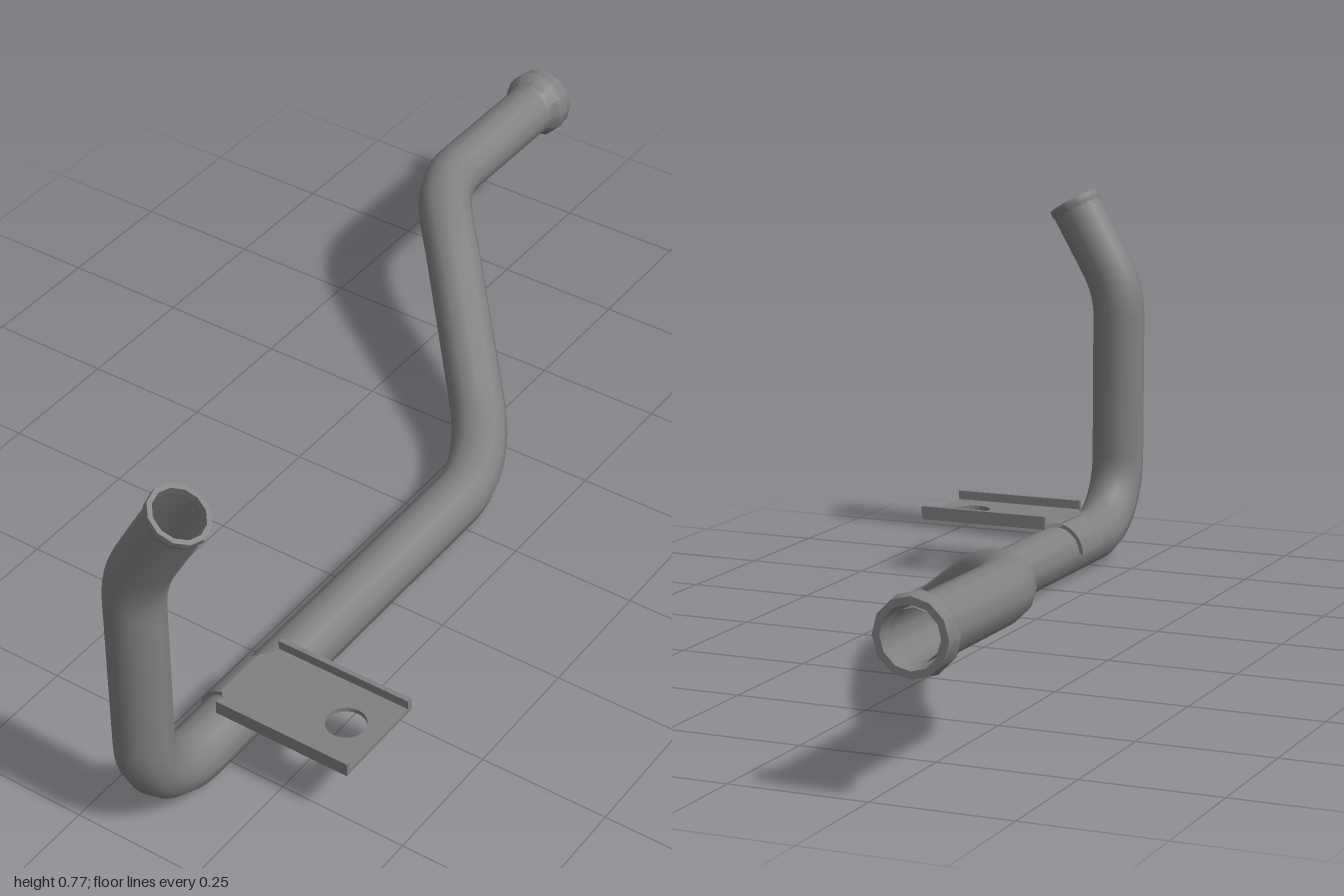
import * as THREE from 'three';
import { toCreasedNormals } from 'three/addons/utils/BufferGeometryUtils.js';

const R = 0.054, SIDES = 12;
const V = (x, y, z) => new THREE.Vector3(x, y, z);

// Pipe centreline: straight runs joined by bends
function pipePath() {
  const path = new THREE.CurvePath();
  const diag = V(0.192, -0.128, 0.21).normalize();
  const tip = V(0.5, 0.866, 0);
  let at = V(-0.323, 0.271, -0.985);
  const line = (to) => { path.add(new THREE.LineCurve3(at, to)); at = to; };
  const bend = (to, dirIn, dirOut, h) => {
    path.add(new THREE.CubicBezierCurve3(
      at, at.clone().addScaledVector(dirIn, h), to.clone().addScaledVector(dirOut, -h), to));
    at = to;
  };
  const z = V(0, 0, 1), y = V(0, 1, 0);
  line(V(-0.323, 0.271, -0.68));
  bend(V(-0.188, 0.23, -0.45), z, diag, 0.095);
  line(V(0.004, 0.102, -0.24));
  bend(V(0.109, 0.055, 0), z, diag.clone().set(0, 0, 1), 0.09);
  // replace the last bend so that it leaves along the diagonal
  path.curves.pop();
  at = V(0.004, 0.102, -0.24);
  bend(V(0.109, 0.055, 0), diag, z, 0.09);
  line(V(0.109, 0.055, 0.8));
  bend(V(0.109, 0.2, 0.945), z, y, 0.08);
  line(V(0.109, 0.5, 0.945));
  bend(V(0.145, 0.62, 0.945), y, tip, 0.045);
  line(V(0.208, 0.729, 0.945));
  return path;
}

export function createModel() {
  const model = new THREE.Group();
  model.name = 'bentPipe';
  const steel = new THREE.MeshStandardMaterial({ color: 0x808080, side: THREE.DoubleSide });
  steel.name = 'grey steel';
  const add = (name, geometry, parent = model) => {
    const mesh = new THREE.Mesh(geometry, steel);
    mesh.name = name;
    parent.add(mesh);
    return mesh;
  };

  // Pipe outer and inner walls
  const path = pipePath();
  add('pipe', new THREE.TubeGeometry(path, 140, R, SIDES));
  add('pipeBore', new THREE.TubeGeometry(path, 140, 0.045, SIDES));

  // Turned pipe ends: profile is [radius, distance along the axis], 0 at the mouth
  const pipeEnd = (name, profile, pos, dir) => {
    const g = new THREE.LatheGeometry(profile.map(p => new THREE.Vector2(...p)), SIDES);
    const mesh = add(name, toCreasedNormals(g, 0.6));
    mesh.position.copy(pos);
    mesh.quaternion.setFromUnitVectors(V(0, 1, 0), dir);
  };
  pipeEnd('rearCollar', [
    [R, -0.065], [0.057, -0.055], [0.068, -0.042], [0.07, -0.025], [0.066, -0.012],
    [0.066, 0], [0.053, 0], [0.05, -0.03], [0.045, -0.055],
  ], V(-0.323, 0.271, -1), V(0, 0, -1));
  pipeEnd('frontLip', [
    [R, -0.035], [0.053, -0.022], [0.057, -0.012], [0.056, 0], [0.047, 0], [0.045, -0.03],
  ], V(0.213, 0.739, 0.945), V(0.5, 0.866, 0).normalize());

  // Mounting bracket
  const bracket = new THREE.Group();
  bracket.name = 'bracket';
  model.add(bracket);

  // Flat plate with a bolt hole, drawn in x and z
  const plate = new THREE.Shape([
    [0.095, 0.603], [0.115, 0.58], [0.115, 0.56], [0.39, 0.56],
    [0.39, 0.755], [0.115, 0.755], [0.115, 0.735], [0.095, 0.712],
  ].map(p => new THREE.Vector2(...p)));
  const hole = new THREE.Path();
  hole.absarc(0.32, 0.657, 0.037, 0, Math.PI * 2, true);
  plate.holes.push(hole);
  const plateGeo = new THREE.ExtrudeGeometry(plate, { depth: 0.009, bevelEnabled: false, curveSegments: 12 });
  plateGeo.rotateX(Math.PI / 2).translate(0, 0.118, 0);
  add('bracketPlate', plateGeo, bracket);

  // Upturned edges
  for (const z of [0.565, 0.75]) {
    const lip = add('bracketLip', new THREE.BoxGeometry(0.275, 0.027, 0.01), bracket);
    lip.position.set(0.2525, 0.1225, z);
  }

  // Saddle strap wrapping over the pipe
  const strap = new THREE.Shape();
  strap.absarc(0.109, 0.055, 0.061, Math.PI / 2, Math.PI * 1.0, false);
  strap.absarc(0.109, 0.055, 0.053, Math.PI * 1.0, Math.PI / 2, true);
  const strapGeo = new THREE.ExtrudeGeometry(strap, { depth: 0.11, bevelEnabled: false, curveSegments: 6 });
  strapGeo.translate(0, 0, 0.603);
  add('bracketSaddle', toCreasedNormals(strapGeo, 0.6), bracket);

  return model;
}
